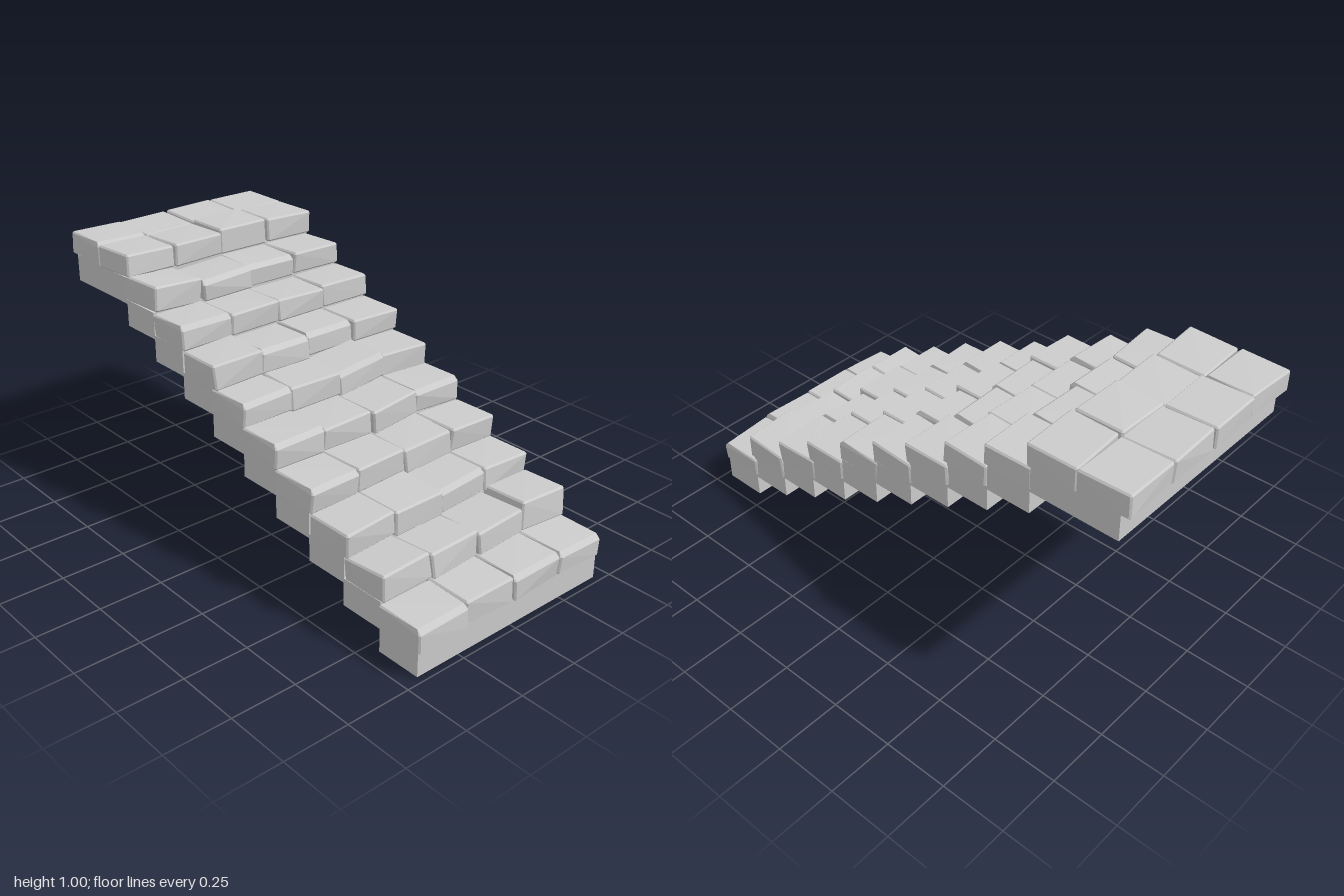
import * as THREE from 'three';
import { ConvexGeometry } from 'three/addons/geometries/ConvexGeometry.js';

const RISE = 0.0885, RUN = 0.1765, STEPS = 10;

// One row per step, four stones from right to left: lift and roll (in hundredths)
const LIFT = [
  [0, 0.5, 0.5, -0.5], [0.5, 0.5, 0, 2], [0, 0.5, 0, 0], [0, 0, 0, 0], [0.5, -0.5, 0, 0.3],
  [0, 0, 0.3, -0.3], [0.6, 0, 0, -0.5], [0, -0.6, -0.6, 0], [0.5, -0.8, -0.5, -0.5],
  [-0.4, -0.4, 1, 0.4], [0, -0.3, 0, 0.3],
];
const ROLL = [
  [4, 0, 3, -6], [2, 0, 5, -7], [5, 0, 6, -4], [-1, 2, 6, -5], [0, 1, 7, -3],
  [2, 0, 10, -3], [3, 0, -1, -1], [2, 0, 0, 1], [-7, 4, 0, -1], [-3, 1, 1, -3], [-1, 0, 1, 0],
];
const PITCH = [3, -9, -1, 0, -2, -1, -4, -4, -3, -5, 2]; // shared tilt per row
const COLUMNS = [-0.44, -0.222, 0.002, 0.225, 0.45];

function seeded(seed) {
  return () => (seed = (seed * 16807) % 2147483647) / 2147483647;
}

// Rough cut block: convex hull of a bevelled box with slightly shifted corners
function stoneGeometry(w, h, d, random) {
  const points = [];
  const jitter = (amount) => (random() - 0.5) * amount;
  const topBevel = random() < 0.25 ? 0.018 : 0.007;
  for (const sx of [-1, 1]) for (const sy of [-1, 1]) for (const sz of [-1, 1]) {
    const x = w / 2 + jitter(0.006), y = h / 2 + jitter(0.005), z = d / 2 + jitter(0.01);
    const b = 0.006, by = sy > 0 && sz > 0 ? topBevel : b;
    points.push(
      new THREE.Vector3(sx * x, sy * (y - by), sz * (z - b)),
      new THREE.Vector3(sx * (x - b), sy * y, sz * (z - by)),
      new THREE.Vector3(sx * (x - b), sy * (y - by), sz * z),
    );
  }
  return new ConvexGeometry(points);
}

export function createModel() {
  const model = new THREE.Group();
  const material = new THREE.MeshStandardMaterial({ color: 0xcccccc, flatShading: true });
  const random = seeded(4217);

  // Plain slabs under each step; the last one is the deep landing
  const slabs = new THREE.Group();
  slabs.name = 'baseSlabs';
  for (let i = 0; i < STEPS; i++) {
    const front = 0.973 - i * RUN;
    const back = i === STEPS - 1 ? -0.96 : front - RUN;
    const slab = new THREE.Mesh(new THREE.BoxGeometry(0.877, 0.105, front - back), material);
    slab.name = 'baseSlab';
    slab.position.set(0.004, i * RISE + 0.0525, (front + back) / 2);
    slabs.add(slab);
  }
  model.add(slabs);

  // Four uneven paving stones per tread, plus a second row on the landing
  const stones = new THREE.Group();
  stones.name = 'treadStones';
  for (let row = 0; row <= STEPS; row++) {
    const level = Math.min(row, STEPS - 1);
    const front = row === STEPS ? -0.793 : 0.985 - row * RUN;
    for (let col = 0; col < 4; col++) {
      const lift = LIFT[row][col] / 100;
      const width = COLUMNS[col + 1] - COLUMNS[col] - 0.002;
      const bottom = 0.1 + level * RISE, top = 0.19 + level * RISE + lift;
      const depth = row === STEPS ? 0.2 : 0.192;
      const stone = new THREE.Mesh(stoneGeometry(width, top - bottom, depth, random), material);
      stone.name = 'treadStone';
      stone.position.set(
        (COLUMNS[col] + COLUMNS[col + 1]) / 2 + (random() - 0.5) * 0.01,
        (top + bottom) / 2,
        front - depth / 2 + (row === STEPS ? 0 : (random() - 0.4) * 0.016),
      );
      stone.rotation.set(
        PITCH[row] / 100 * (0.4 + 0.6 * random()),
        (random() - 0.5) * 0.06,
        ROLL[row][col] / 100,
      );
      stones.add(stone);
    }
  }
  model.add(stones);
  return model;
}
